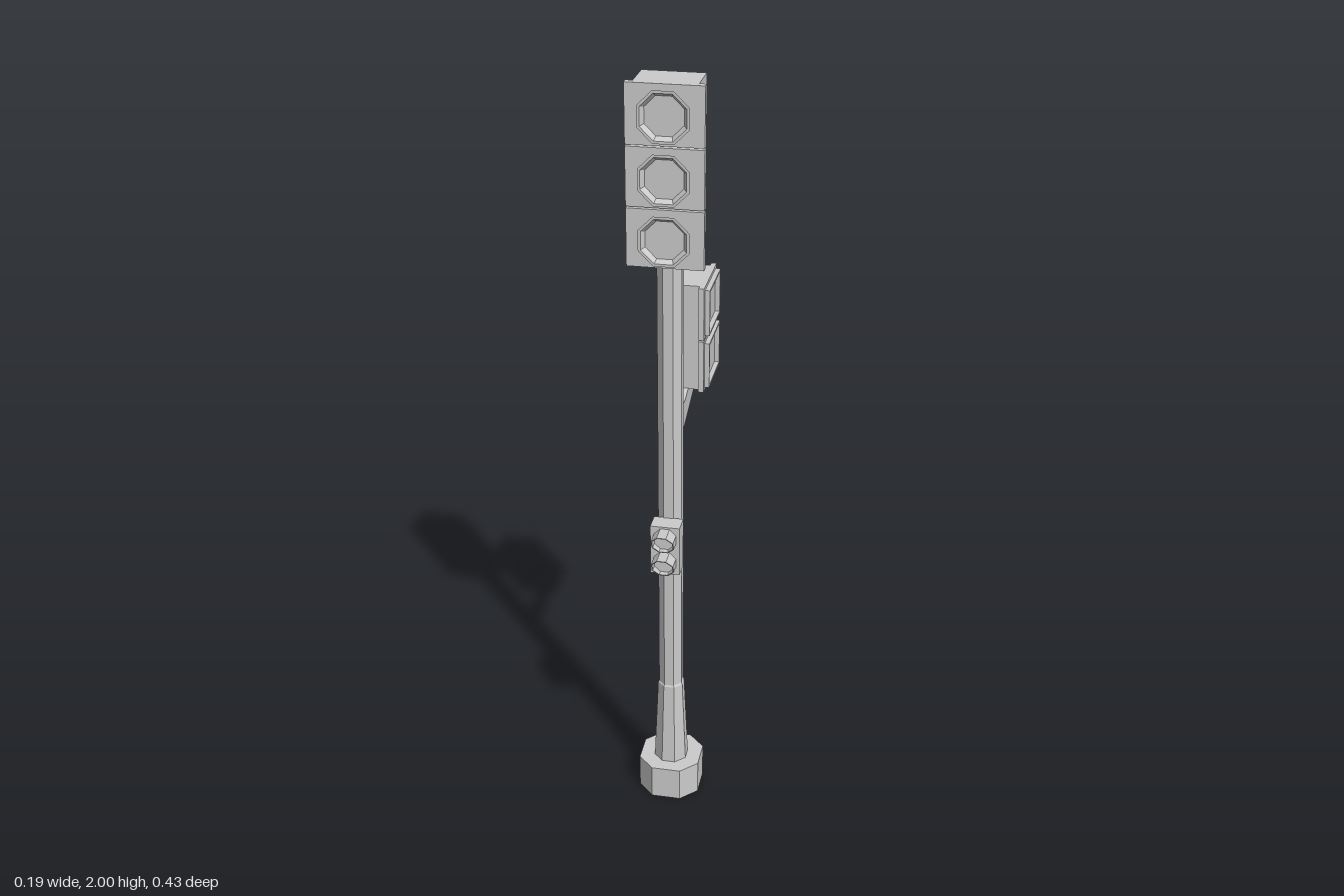
import * as THREE from 'three';

const mat = new THREE.MeshStandardMaterial({ color: 0xcccccc, flatShading: true, side: THREE.DoubleSide });

function add(parent, name, geo, x = 0, y = 0, z = 0) {
  const m = new THREE.Mesh(geo, mat);
  m.name = name;
  m.position.set(x, y, z);
  parent.add(m);
  return m;
}

// Box given by its limits on each axis
function box(parent, name, [x0, x1], [y0, y1], [z0, z1]) {
  return add(parent, name, new THREE.BoxGeometry(x1 - x0, y1 - y0, z1 - z0),
    (x0 + x1) / 2, (y0 + y1) / 2, (z0 + z1) / 2);
}

// Eight-sided hood facing +z, with a recessed lens; slant shortens its lower rim
function hood(rBack, rFront, wall, depth, lens, slant) {
  const profile = [[rBack, 0], [rFront, depth], [rFront - wall, depth], [rBack - wall, lens], [0, lens]]
    .map(p => new THREE.Vector2(...p));
  const geo = new THREE.LatheGeometry(profile, 8, Math.PI / 8);
  geo.rotateX(Math.PI / 2);
  const p = geo.attributes.position;
  for (let i = 0; i < p.count; i++) {
    if (p.getZ(i) > depth - 1e-4) p.setZ(i, depth - (rFront - p.getY(i)) * slant);
  }
  return geo;
}

function polygon(points) {
  return new THREE.Shape(points.map(p => new THREE.Vector2(...p)));
}

export function createModel() {
  const model = new THREE.Group();
  model.name = 'trafficSignal';
  const pz = 0.09; // post axis

  // Chamfered base
  const a = 0.082, b = 0.039;
  const base = new THREE.ExtrudeGeometry(
    polygon([[a, -b], [a, b], [b, a], [-b, a], [-a, b], [-a, -b], [-b, -a], [b, -a]]),
    { depth: 0.096, bevelEnabled: false });
  base.rotateX(-Math.PI / 2);
  add(model, 'base', base, 0, 0, pz - 0.002);

  // Octagonal post with a tapered foot
  const post = new THREE.LatheGeometry(
    [[0.047, 0.09], [0.036, 0.34], [0.033, 0.345], [0.033, 1.57]].map(p => new THREE.Vector2(...p)),
    8, Math.PI / 8);
  add(model, 'post', post, 0, 0, pz);

  // Main three-lamp head
  const head = new THREE.Group();
  head.name = 'signalHead';
  model.add(head);
  box(head, 'headBody', [-0.076, 0.076], [1.562, 2], [0.042, 0.136]);
  for (let i = 0; i < 3; i++) {
    const y = 1.634 + i * 0.147;
    box(head, 'lampDoor', [-0.093, 0.093], [y - 0.071, y + 0.072], [0.135, 0.153]);
    add(head, 'lampRing', hood(0.057, 0.066, 0.007, 0.018, 0.005, 0), 0, y, 0.1525);
  }

  // Small two-lamp repeater on the front of the post
  const repeater = new THREE.Group();
  repeater.name = 'repeater';
  model.add(repeater);
  box(repeater, 'repeaterBody', [-0.038, 0.038], [0.73, 0.868], [0.118, 0.168]);
  for (const y of [0.766, 0.834]) {
    add(repeater, 'repeaterHood', hood(0.031, 0.031, 0.003, 0.049, 0.008, 0.45), 0, y, 0.167);
  }

  // Pedestrian signal facing +x
  const walk = new THREE.Group();
  walk.name = 'pedestrianSignal';
  model.add(walk);
  box(walk, 'pedestrianBody', [-0.047, 0.047], [1.156, 1.44], [-0.2, -0.052]);
  for (const y of [1.226, 1.37]) {
    box(walk, 'pedestrianDoor', [0.046, 0.06], [y - 0.07, y + 0.07], [-0.217, -0.037]);
    const w = 0.077, h = 0.061, t = 0.006;
    const frame = polygon([[-w, -h], [w, -h], [w, h], [-w, h]]);
    frame.holes.push(polygon([[-w + t, -h + t], [-w + t, h - t], [w - t, h - t], [w - t, -h + t]]));
    const rim = new THREE.ExtrudeGeometry(frame, { depth: 0.013, bevelEnabled: false });
    rim.rotateY(Math.PI / 2);
    add(walk, 'pedestrianFrame', rim, 0.0595, y, -0.127);
  }

  // Bracket from the post to the pedestrian signal, profile drawn as (z, y)
  const arm = new THREE.ExtrudeGeometry(
    polygon([[0.065, 1.145], [0.065, 1.076], [0, 1.076], [-0.125, 1.12], [-0.135, 1.13],
      [-0.135, 1.16], [-0.06, 1.16], [-0.01, 1.145]].map(([z, y]) => [-z, y])),
    { depth: 0.013, bevelEnabled: false });
  arm.rotateY(Math.PI / 2);
  add(model, 'bracket', arm, 0.005, 0, 0);

  return model;
}
